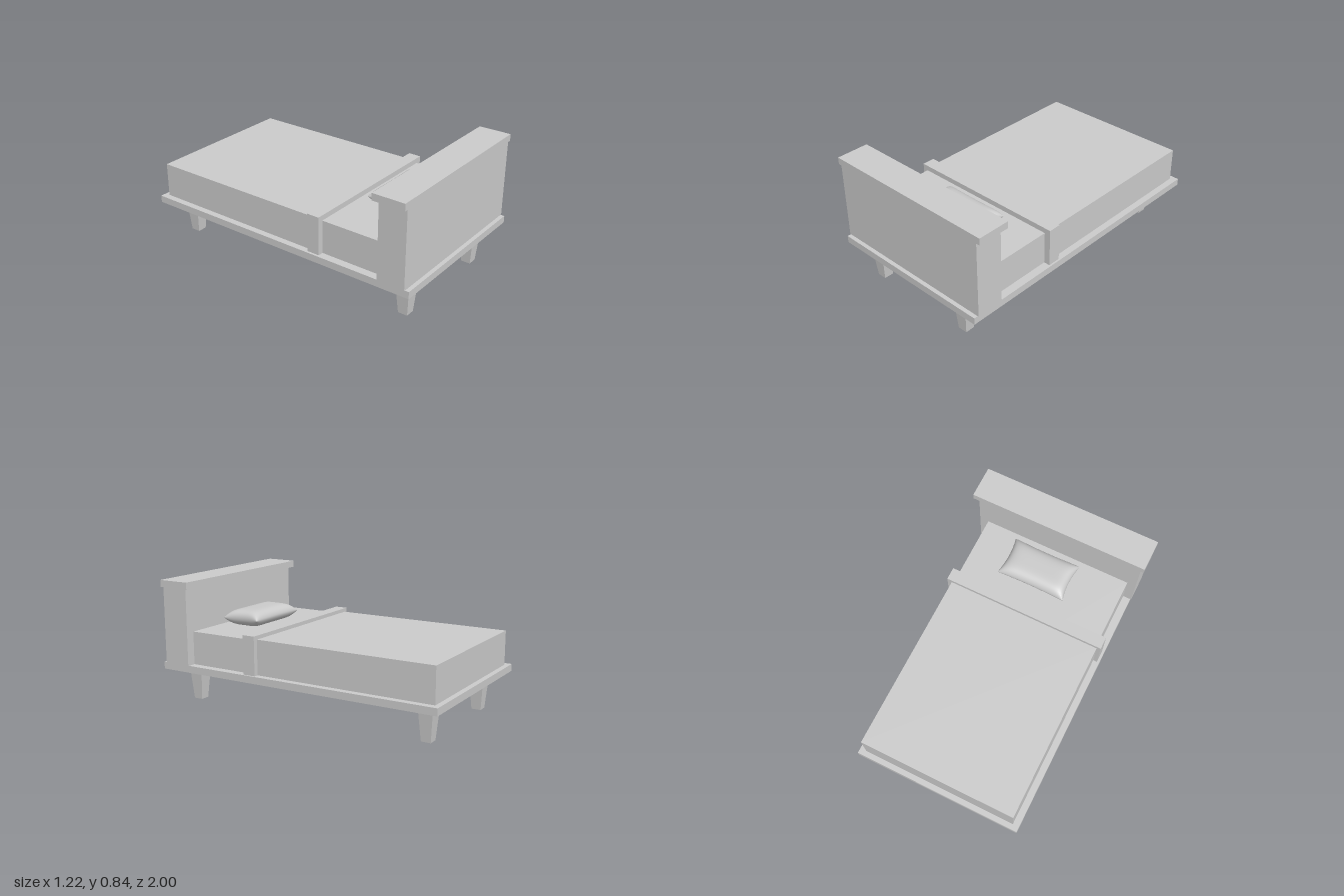
import * as THREE from 'three';
import { mergeVertices, mergeGeometries } from 'three/addons/utils/BufferGeometryUtils.js';

const flat = new THREE.MeshStandardMaterial({ color: 0xcccccc, flatShading: true });
const soft = new THREE.MeshStandardMaterial({ color: 0xcccccc });

// Box given by its limits on each axis
function box(name, [x0, x1], [y0, y1], [z0, z1]) {
  const mesh = new THREE.Mesh(new THREE.BoxGeometry(x1 - x0, y1 - y0, z1 - z0), flat);
  mesh.position.set((x0 + x1) / 2, (y0 + y1) / 2, (z0 + z1) / 2);
  mesh.name = name;
  return mesh;
}

// One half of the pillow: a grid bulged upward, with edges drawn in between the corners
function pillowHalf(width, depth, thickness) {
  const geo = new THREE.PlaneGeometry(2, 2, 32, 24).rotateX(-Math.PI / 2);
  const p = geo.attributes.position;
  for (let i = 0; i < p.count; i++) {
    const u = Math.sin(p.getX(i) * Math.PI / 2);
    const v = Math.sin(p.getZ(i) * Math.PI / 2);
    const bulge = Math.sqrt(Math.max(0, 1 - u ** 8)) * Math.max(0, 1 - v ** 4) ** 0.6;
    p.setXYZ(i,
      width / 2 * u * (1 - 0.07 * (1 - v * v)),
      thickness / 2 * bulge,
      depth / 2 * v * (1 - 0.06 * (1 - u * u)));
  }
  geo.deleteAttribute('uv');
  geo.deleteAttribute('normal');
  return geo;
}

function createPillow() {
  const size = [0.476, 0.274, 0.11];
  const geo = mergeVertices(mergeGeometries([
    pillowHalf(...size),
    pillowHalf(...size).rotateX(Math.PI),
  ]), 1e-4);
  geo.computeVertexNormals();
  const pillow = new THREE.Mesh(geo, soft);
  pillow.position.set(0.04, 0.56, 0.585);
  pillow.name = 'pillow';
  return pillow;
}

export function createModel() {
  const bed = new THREE.Group();
  bed.name = 'bed';

  // Frame and headboard
  bed.add(
    box('platform', [-0.577, 0.573], [0.233, 0.28], [-1, 1]),
    box('headboard', [-0.584, 0.581], [0.28, 0.792], [0.786, 0.973]),
    box('headboardCap', [-0.609, 0.607], [0.792, 0.838], [0.755, 0.973]),
  );

  // Bedding
  bed.add(
    box('mattress', [-0.524, 0.519], [0.28, 0.5], [-0.94, 0.786]),
    box('blanket', [-0.534, 0.529], [0.28, 0.51], [-0.965, 0.27]),
    box('blanketFold', [-0.561, 0.561], [0.28, 0.535], [0.263, 0.349]),
    createPillow(),
  );

  // Square tapered legs
  const legGeo = new THREE.CylinderGeometry(0.051 * Math.SQRT2, 0.032 * Math.SQRT2, 0.233, 4)
    .rotateY(Math.PI / 4);
  for (const [end, z] of [['front', 0.87], ['back', -0.848]]) {
    for (const [side, x] of [['Right', -0.392], ['Left', 0.362]]) {
      const leg = new THREE.Mesh(legGeo, flat);
      leg.position.set(x, 0.1165, z);
      leg.name = `${end}${side}Leg`;
      bed.add(leg);
    }
  }
  return bed;
}
